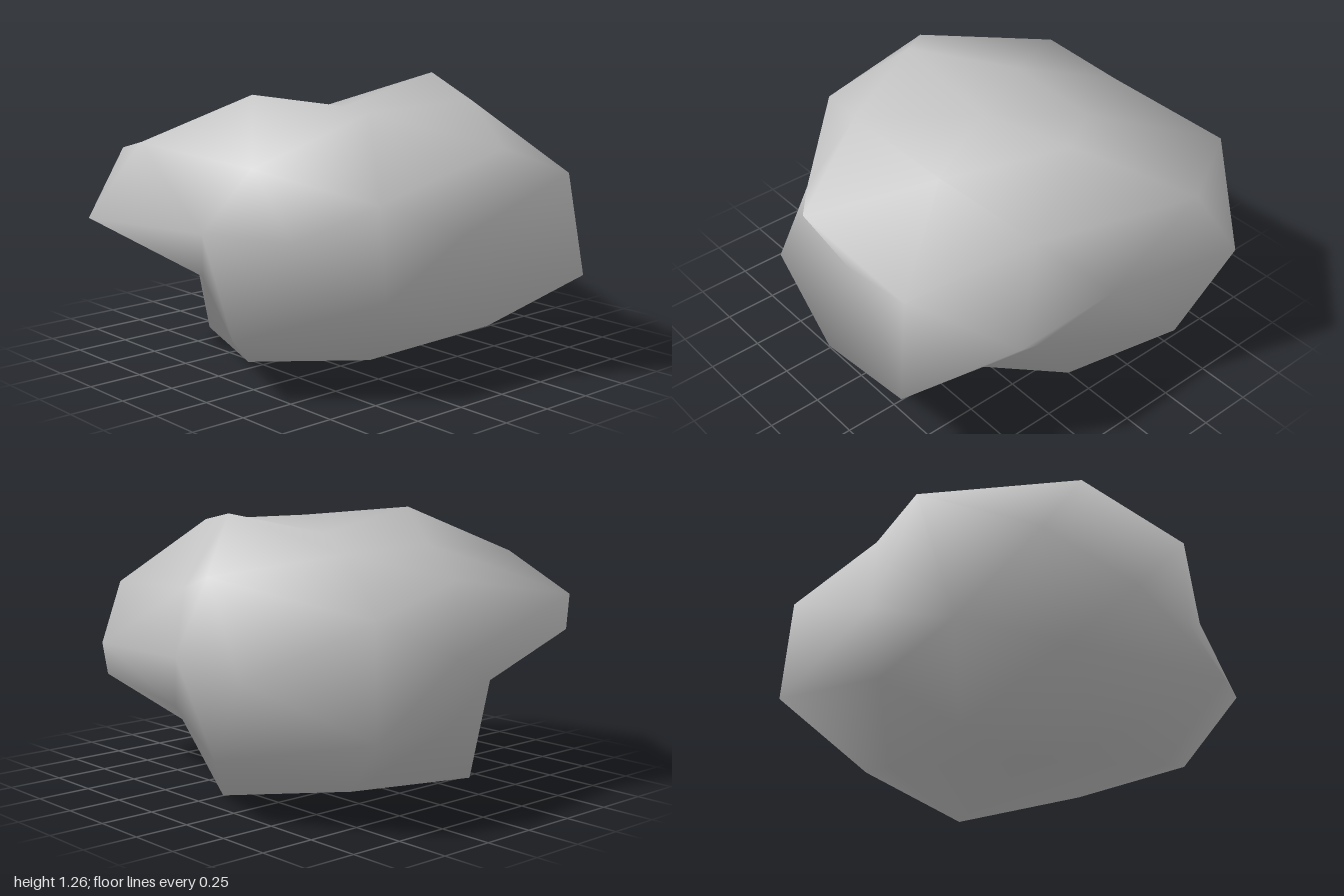
import * as THREE from 'three';

// Radial stretch for each family of icosphere corners, keyed by |x|_|y| in hundredths.
// Within a family, entries run through the signs of the non-zero axes, x changing fastest.
const STRETCH = {
  '53_85': [1.11, 1.165, 1.03, 1.072],
  '0_53': [0.92, 0.975, 1.07, 1.155],
  '85_0': [1.18, 1.18, 0.78, 1.03],
  '31_81': [1.18, 1.08, 0.83, 0.81, 1.03, 0.98, 0.98, 1.0],
  '81_50': [0.8, 1.145, 1.11, 1.19, 1.157, 0.84, 0.97, 0.78],
  '50_31': [0.82, 1.21, 1.185, 1.175, 1.01, 1.172, 0.85, 1.09],
  '100_0': [0.826, 0.86],
  '0_100': [0.81, 0.73],
  '0_0': [0.847, 0.77],
};

function stretchAt(v) {
  const key = [v.x, v.y].map((n) => Math.round(Math.abs(n) * 100)).join('_');
  const axes = v.toArray().filter((n) => Math.abs(n) > 0.1);
  const index = axes.reduce((sum, n, i) => sum + (n > 0 ? 1 << i : 0), 0);
  return STRETCH[key][index];
}

export function createModel() {
  const group = new THREE.Group();
  group.name = 'rock';
  const stone = new THREE.MeshStandardMaterial({ color: 0xc4c4c4 });
  stone.name = 'stone grey';

  // Boulder: lumpy icosphere that keeps its round, smooth normals
  const geometry = new THREE.IcosahedronGeometry(1, 1);
  const position = geometry.attributes.position;
  const v = new THREE.Vector3();
  for (let i = 0; i < position.count; i++) {
    v.fromBufferAttribute(position, i);
    v.multiplyScalar(stretchAt(v));
    position.setXYZ(i, v.x, v.y, v.z);
  }

  // Squash it and rest its lowest corner on the ground
  const boulder = new THREE.Mesh(geometry, stone);
  boulder.name = 'boulder';
  boulder.scale.y = 0.66;
  geometry.computeBoundingBox();
  boulder.position.y = -geometry.boundingBox.min.y * boulder.scale.y;
  group.add(boulder);
  return group;
}
